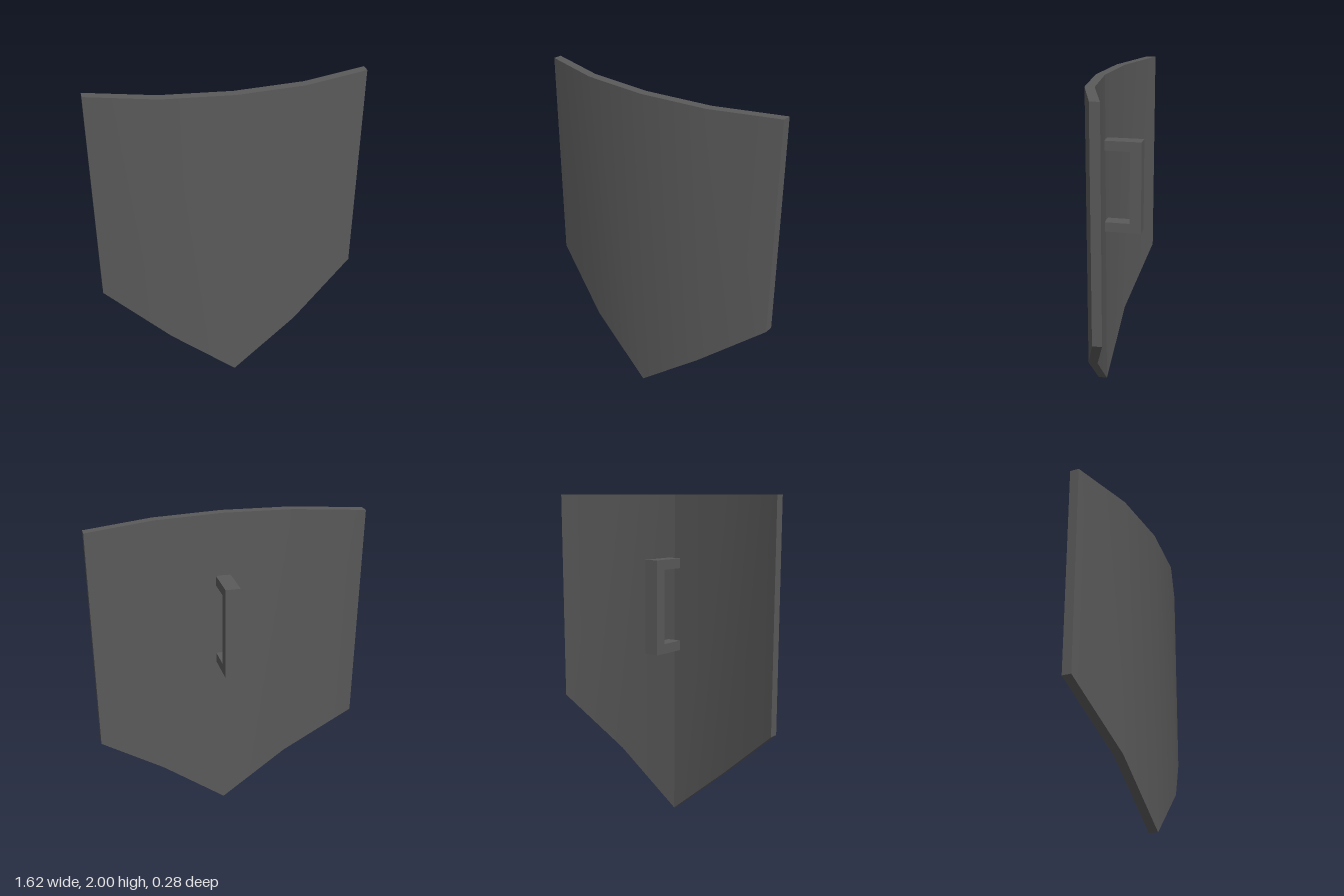
import * as THREE from 'three';

// Cross-section stations across the panel: x, height of lower edge, z of front face
const STATIONS = [
  [-0.81, 0.665, -0.018],
  [-0.41, 0.335, 0.105],
  [0, 0, 0.142],
  [0.41, 0.335, 0.105],
  [0.81, 0.665, -0.018],
];
const TOP = 2;
const THICKNESS = 0.056;

// Smooth sheet through a row of [pointA, pointB] pairs
function strip(pairs, flip = false) {
  const index = [];
  for (let i = 0; i < pairs.length - 1; i++) {
    const a = i * 2, b = a + 1, c = a + 2, d = a + 3;
    index.push(...(flip ? [a, b, c, c, b, d] : [a, c, b, c, d, b]));
  }
  const geometry = new THREE.BufferGeometry();
  geometry.setAttribute('position', new THREE.Float32BufferAttribute(pairs.flat(2), 3));
  geometry.setIndex(index);
  geometry.computeVertexNormals();
  return geometry;
}

export function createModel() {
  const group = new THREE.Group();
  group.name = 'shield';
  const steel = new THREE.MeshStandardMaterial({ color: 0x5a5a5a });
  steel.name = 'darkGrey';

  const add = (name, geometry) => {
    const mesh = new THREE.Mesh(geometry, steel);
    mesh.name = name;
    group.add(mesh);
  };

  const front = STATIONS.map(([x, y, z]) => [[x, y, z], [x, TOP, z]]);
  const back = front.map((pair) => pair.map(([x, y, z]) => [x, y, z - THICKNESS]));

  // Curved faces; the back is creased down the middle
  add('frontFace', strip(front));
  add('backFaceRight', strip(back.slice(0, 3), true));
  add('backFaceLeft', strip(back.slice(2), true));

  // Rim: top edge, two sloping lower edges and the upright sides
  const lower = front.map((f, i) => [back[i][0], f[0]]);
  add('topEdge', strip(front.map((f, i) => [f[1], back[i][1]])));
  add('lowerEdgeRight', strip(lower.slice(0, 3)));
  add('lowerEdgeLeft', strip(lower.slice(2)));
  add('sideEdgeRight', strip([back[0], front[0]]));
  add('sideEdgeLeft', strip([front[4], back[4]]));

  // C-shaped grip, drawn in the z-y plane and extruded across x
  const [yLow, yHigh, zOut, zIn, arm, depth, width] = [1.05, 1.62, -0.142, 0.086, 0.06, 0.07, 0.09];
  const profile = new THREE.Shape([
    [zIn, yLow], [zIn, yLow + arm], [zOut + depth, yLow + arm], [zOut + depth, yHigh - arm],
    [zIn, yHigh - arm], [zIn, yHigh], [zOut, yHigh], [zOut, yLow],
  ].map(([z, y]) => new THREE.Vector2(z, y)));
  const handle = new THREE.ExtrudeGeometry(profile, { depth: width, bevelEnabled: false });
  handle.rotateY(-Math.PI / 2).translate(width / 2, 0, 0);
  add('handle', handle);

  return group;
}
